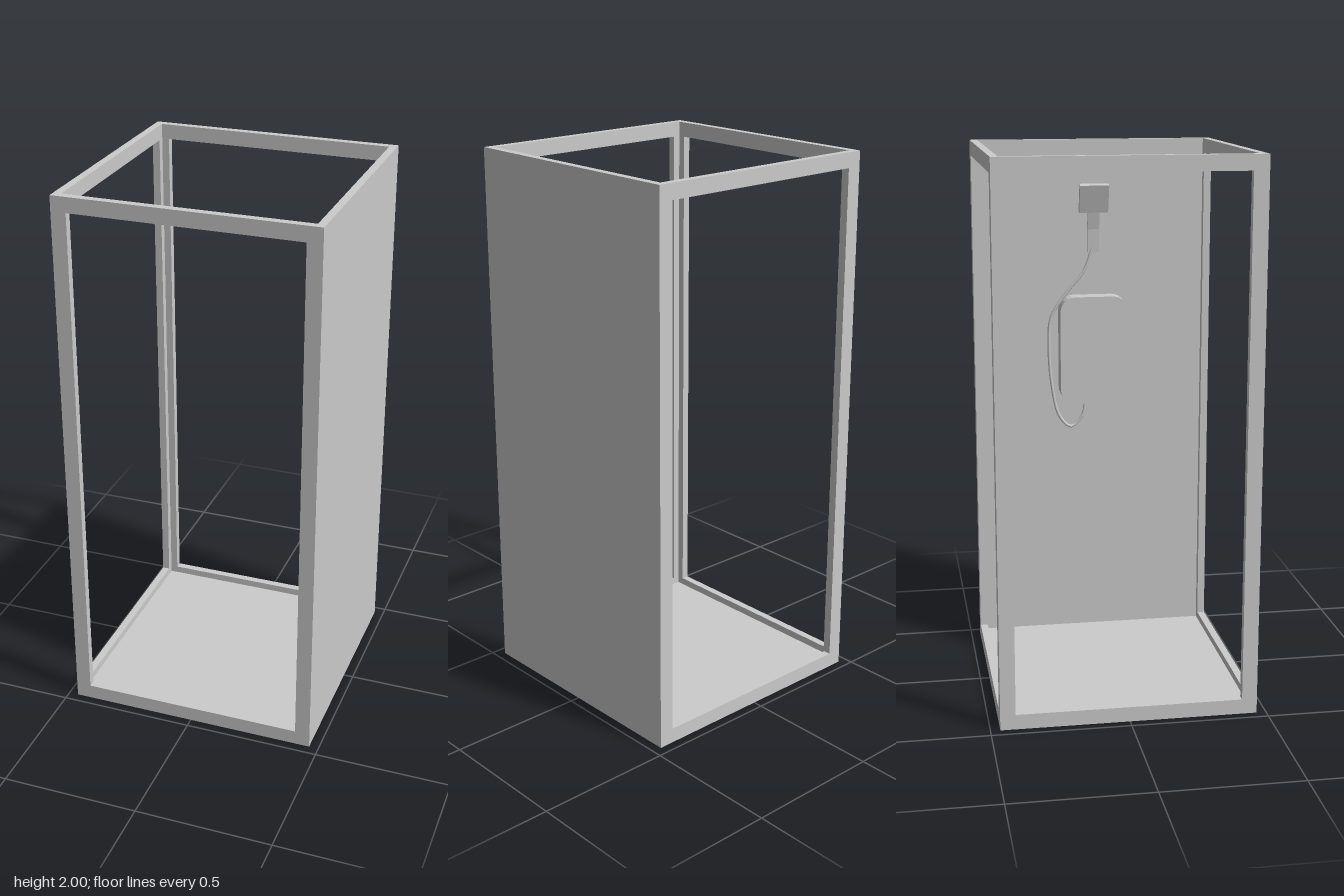
import * as THREE from 'three';

const HALF = 0.465, HEIGHT = 2, WALL = 0.028, RAIL = 0.055;
const INNER = HALF - WALL;

export function createModel() {
  const group = new THREE.Group();
  const material = new THREE.MeshStandardMaterial({ color: 0xcccccc, flatShading: true });
  const smooth = new THREE.MeshStandardMaterial({ color: 0xcccccc });

  const add = (name, geometry, x = 0, y = 0, z = 0, mat = material) => {
    const mesh = new THREE.Mesh(geometry, mat);
    mesh.name = name;
    mesh.position.set(x, y, z);
    group.add(mesh);
    return mesh;
  };
  const box = (name, w, h, d, x, y, z) => add(name, new THREE.BoxGeometry(w, h, d), x, y, z);

  // Upright rectangular frame with one large opening
  const frameGeometry = (half) => {
    const rect = (target, x, y0, y1) => target.moveTo(-x, y0).lineTo(x, y0).lineTo(x, y1).lineTo(-x, y1).closePath();
    const shape = rect(new THREE.Shape(), half, 0, HEIGHT);
    shape.holes.push(rect(new THREE.Path(), HALF - RAIL, RAIL, HEIGHT - RAIL));
    return new THREE.ExtrudeGeometry(shape, { depth: WALL, bevelEnabled: false });
  };

  // Cabin: three open frames, one solid wall, a floor and no roof
  add('frontFrame', frameGeometry(HALF), 0, 0, INNER);
  add('backFrame', frameGeometry(HALF), 0, 0, -HALF);
  add('sideFrame', frameGeometry(INNER), -HALF).rotation.y = Math.PI / 2;
  box('solidWall', WALL, HEIGHT, 2 * INNER, HALF - WALL / 2, HEIGHT / 2, 0);
  box('floor', 2 * INNER, WALL, 2 * INNER, 0, WALL / 2, 0);

  // Heater unit on the solid wall, with coarsely rounded corners
  const w = 0.134, h = 0.2125, r = 0.06;
  const body = new THREE.Shape();
  body.absarc(w - r, h - r, r, 0, Math.PI / 2);
  body.absarc(-w + r, h - r, r, Math.PI / 2, Math.PI);
  body.absarc(-w + r, -h + r, r, Math.PI, Math.PI * 1.5);
  body.absarc(w - r, -h + r, r, Math.PI * 1.5, Math.PI * 2);
  body.closePath();
  const heater = new THREE.ExtrudeGeometry(body, { depth: INNER - 0.366, bevelEnabled: false, curveSegments: 3 });
  add('heaterUnit', heater, 0.366, 1.1875, 0).rotation.y = Math.PI / 2;

  // Hose: from the underside, down, round the back edge and up to the handle
  const hosePath = new THREE.CatmullRomCurve3([
    [0.402, 0.99, -0.03], [0.402, 0.92, -0.045], [0.403, 0.877, -0.09], [0.403, 0.92, -0.135],
    [0.404, 1.05, -0.165], [0.404, 1.2, -0.175], [0.404, 1.32, -0.165], [0.403, 1.42, -0.1],
    [0.402, 1.5, -0.035], [0.4, 1.6, 0],
  ].map((p) => new THREE.Vector3(...p)));
  add('hose', new THREE.TubeGeometry(hosePath, 48, 0.006, 8), 0, 0, 0, smooth);

  // Handle: slightly curved bar that thickens towards the head
  const handle = new THREE.Shape();
  handle.moveTo(0.397, 1.57).lineTo(0.407, 1.57).lineTo(0.403, 1.66).lineTo(0.393, 1.74);
  handle.lineTo(0.376, 1.735).lineTo(0.391, 1.66).closePath();
  add('showerHandle', new THREE.ExtrudeGeometry(handle, { depth: 0.045, bevelEnabled: false }), 0, 0, -0.0225);

  // Flat head leaning into the cabin
  const head = box('showerHead', 0.022, 0.11, 0.112, 0.37, 1.781, -0.001);
  head.rotation.z = 0.28;

  return group;
}
